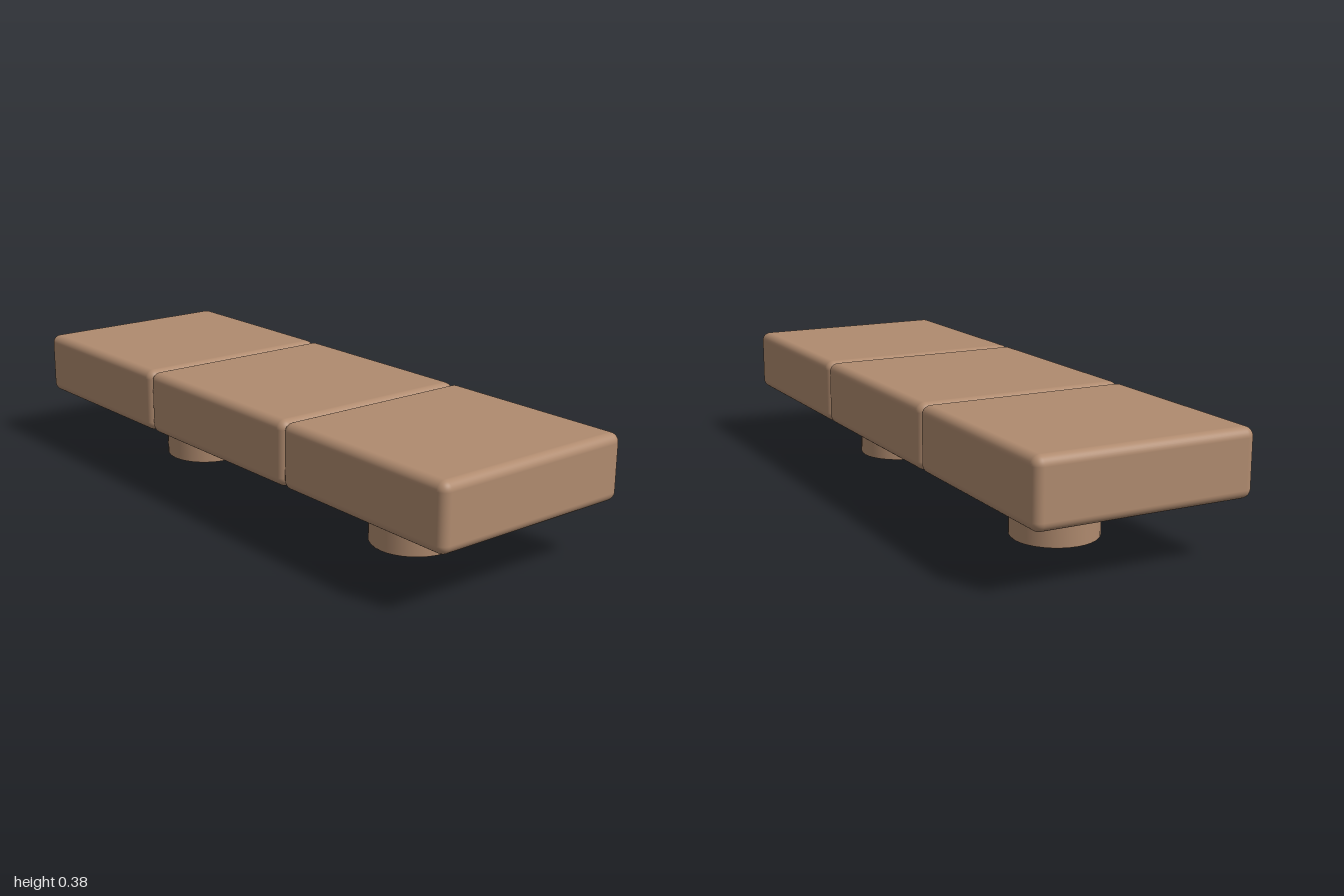
import * as THREE from 'three';
import { RoundedBoxGeometry } from 'three/addons/geometries/RoundedBoxGeometry.js';

export function createModel() {
  const model = new THREE.Group();
  model.name = 'bench';

  const clay = new THREE.MeshStandardMaterial({ color: 0xb08b6f });
  clay.name = 'warm clay brown';

  // Three softly rounded slabs meeting at shallow seams
  const overlap = 0.003;
  const addSlab = (name, x0, x1) => {
    const slab = new THREE.Mesh(new RoundedBoxGeometry(x1 - x0, 0.2, 0.68, 5, 0.028), clay);
    slab.position.set((x0 + x1) / 2, 0.281, 0);
    slab.name = name;
    model.add(slab);
  };
  addSlab('rightSlab', -1, -0.347 + overlap);
  addSlab('middleSlab', -0.347 - overlap, 0.343 + overlap);
  addSlab('leftSlab', 0.343 - overlap, 1);

  // Round legs: tiny bevel at the foot, small fillet under the slab
  const profile = [
    [0, 0], [0.131, 0], [0.134, 0.004], [0.134, 0.172], [0.137, 0.178], [0.145, 0.183], [0, 0.19],
  ].map(([r, y]) => new THREE.Vector2(r, y));
  // Split into foot, wall and fillet so the flat foot keeps a crisp edge
  const legParts = { foot: profile.slice(0, 2), wall: profile.slice(1, 6) };
  for (const side of [-1, 1]) {
    const leg = new THREE.Group();
    leg.name = side < 0 ? 'rightLeg' : 'leftLeg';
    leg.position.x = side * 0.534;
    for (const [name, points] of Object.entries(legParts)) {
      const mesh = new THREE.Mesh(new THREE.LatheGeometry(points, 32), clay);
      mesh.name = name;
      leg.add(mesh);
    }
    model.add(leg);
  }

  return model;
}
